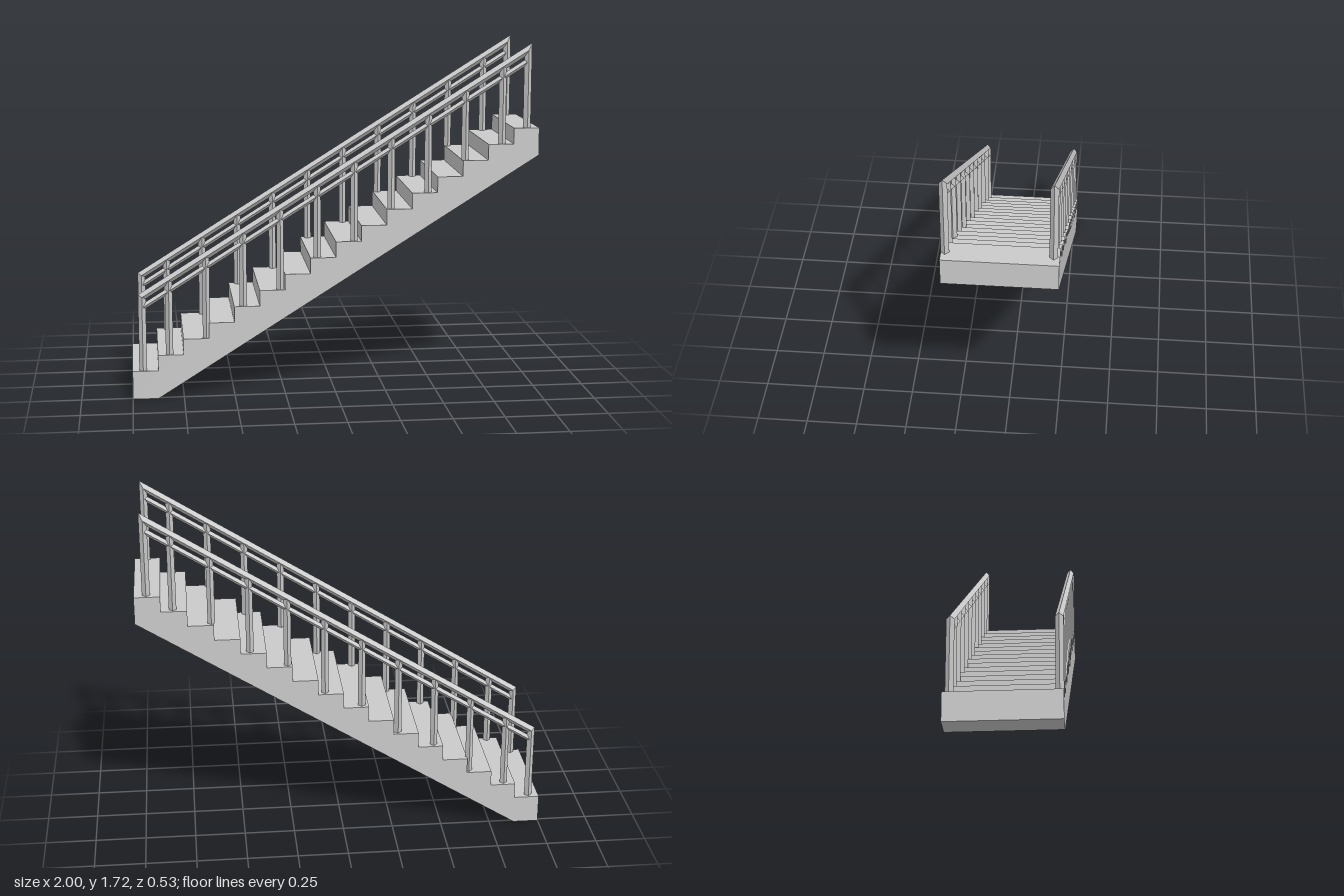
import * as THREE from 'three';

const STEPS = 16, RUN = 2 / STEPS, FIRST = 0.14, RISE = 0.078, SLOPE = RISE / RUN;
const HALF_WIDTH = 0.265;

const concrete = new THREE.MeshStandardMaterial({ color: 0xcacaca });
concrete.name = 'light grey';

// Height of the tread below x, and of the handrail centre line at x
const treadY = (x) => FIRST + RISE * Math.floor((x + 1) / RUN);
const railY = (x) => 0.51 + SLOPE * (x + 0.948);

// Diamond-section bar swept along [x, y] points, with mitred corners and closed ends
function diamondBar(points, r) {
  const path = points.map(([x, y]) => new THREE.Vector2(x, y));
  const normals = path.slice(1).map((p, i) => {
    const d = p.clone().sub(path[i]).normalize();
    return new THREE.Vector2(-d.y, d.x);
  });
  const pos = [], index = [];
  path.forEach((p, i) => {
    const a = normals[Math.max(i - 1, 0)], b = normals[Math.min(i, normals.length - 1)];
    const m = a.clone().add(b).multiplyScalar(r / (1 + a.dot(b)));
    pos.push(p.x + m.x, p.y + m.y, 0, p.x, p.y, r, p.x - m.x, p.y - m.y, 0, p.x, p.y, -r);
    if (i === 0) return;
    for (let k = 0; k < 4; k++) {
      const q = (i - 1) * 4 + k, s = (i - 1) * 4 + ((k + 1) % 4);
      index.push(q, s, s + 4, q, s + 4, q + 4);
    }
  });
  const e = (path.length - 1) * 4;
  index.push(0, 2, 1, 0, 3, 2, e, e + 1, e + 2, e, e + 2, e + 3);
  const indexed = new THREE.BufferGeometry();
  indexed.setAttribute('position', new THREE.Float32BufferAttribute(pos, 3));
  indexed.setIndex(index);
  const geometry = indexed.toNonIndexed();
  geometry.computeVertexNormals();
  return geometry;
}

function addMesh(parent, geometry, name) {
  const mesh = new THREE.Mesh(geometry, concrete);
  mesh.name = name;
  parent.add(mesh);
}

// Solid flight with a stepped top and a sloping underside
function flight() {
  const shape = new THREE.Shape();
  shape.moveTo(-1, 0);
  shape.lineTo(-1 + RUN, 0);
  shape.lineTo(1, 1.175);
  for (let i = STEPS - 1; i >= 0; i--) {
    const y = FIRST + RISE * i;
    shape.lineTo(-1 + RUN * (i + 1), y);
    shape.lineTo(-1 + RUN * i, y);
  }
  shape.closePath();
  const geometry = new THREE.ExtrudeGeometry(shape, { depth: HALF_WIDTH * 2, bevelEnabled: false });
  return geometry.translate(0, 0, -HALF_WIDTH);
}

function railing(name, z) {
  const group = new THREE.Group();
  group.name = name;
  group.position.z = z;
  const x0 = -0.948, x1 = 0.941, drop = 0.054;

  // Handrail running into the two end posts
  addMesh(group, diamondBar([
    [x0, treadY(x0)], [x0, railY(x0)], [x1, railY(x1)], [x1, treadY(x1)],
  ], 0.019), 'handrailWithEndPosts');

  // Thinner rail just below
  addMesh(group, diamondBar([[x0, railY(x0) - drop], [x1, railY(x1) - drop]], 0.014), 'lowerRail');

  // Posts between
  for (let i = 0; i < 10; i++) {
    const x = (2 * i - 9) / 11;
    addMesh(group, diamondBar([[x, treadY(x)], [x, railY(x)]], 0.018), 'post');
  }
  return group;
}

export function createModel() {
  const model = new THREE.Group();
  model.name = 'staircase';
  addMesh(model, flight(), 'stairFlight');
  model.add(railing('frontRailing', 0.246), railing('backRailing', -0.237));
  return model;
}
